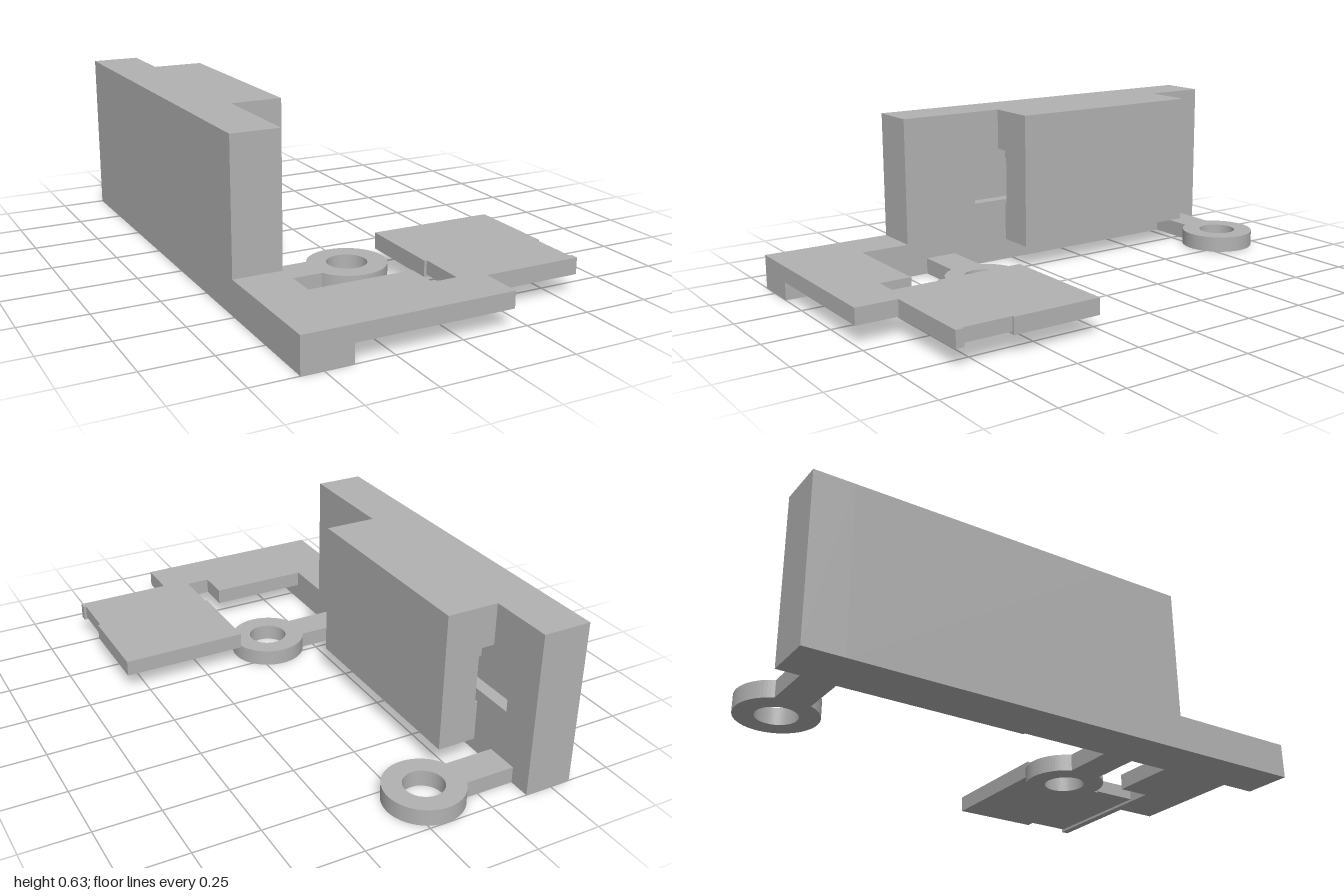
import * as THREE from 'three';

const grey = new THREE.MeshStandardMaterial({ color: 0xb2b2b2 });
grey.name = 'grey plastic';

const toShape = (pts) => new THREE.Shape(pts.map(([a, b]) => new THREE.Vector2(a, b)));

// Cross-section in x, y pushed along z from z0 to z1
function alongZ(name, pts, z0, z1) {
  const geo = new THREE.ExtrudeGeometry(toShape(pts), { depth: z1 - z0, bevelEnabled: false });
  geo.translate(0, 0, z0);
  const mesh = new THREE.Mesh(geo, grey);
  mesh.name = name;
  return mesh;
}

// Plan outline in x, z raised from y0 to y1
function upright(name, shape, y0, y1, curveSegments = 12) {
  const geo = new THREE.ExtrudeGeometry(shape, { depth: y1 - y0, bevelEnabled: false, curveSegments });
  geo.rotateX(-Math.PI / 2).translate(0, y0, 0);
  const mesh = new THREE.Mesh(geo, grey);
  mesh.name = name;
  return mesh;
}
const plan = (pts) => toShape(pts.map(([x, z]) => [x, -z]));
const rect = (x0, x1, z0, z1) => plan([[x0, z0], [x0, z1], [x1, z1], [x1, z0]]);

export function createModel() {
  const model = new THREE.Group();
  model.name = 'slottedBracket';
  const L = -0.58, W = -0.395; // wall faces

  // Tall wall with a shallow pocket running behind the block
  const wall = new THREE.Group();
  wall.name = 'wall';
  const plain = [[L, 0], [W, 0], [W, 0.63], [L, 0.63]];
  const pocketed = [[L, 0], [W, 0], [W, 0.255], [W - 0.05, 0.255], [W - 0.05, 0.44], [W, 0.44], [W, 0.63], [L, 0.63]];
  wall.add(
    alongZ('wallBack', plain, -1, -0.85),
    alongZ('wallMiddle', pocketed, -0.85, 0.18),
    alongZ('wallFront', plain, 0.18, 0.49),
  );
  model.add(wall);

  // Block hanging from the wall, with a slot open at the bottom and both ends
  model.add(alongZ('hangingBlock', [
    [W, 0.63], [W, 0.47], [-0.345, 0.47], [-0.345, 0.44], [-0.335, 0.44], [-0.335, 0.255],
    [-0.345, 0.255], [-0.345, 0.1], [-0.195, 0.1], [-0.195, 0.63],
  ], -0.75, 0.065));

  // Low rail carrying the wall forward
  model.add(upright('frontRail', rect(L, W, 0.49, 1), 0, 0.132));

  // Flat arm and panel, with a narrow band recessed around the panel
  const arm = new THREE.Group();
  arm.name = 'panelArm';
  arm.add(
    upright('armAndPanel', plan([
      [W, 0.685], [0, 0.685], [0, 0.81], [0.095, 0.81], [0.095, 0.625], [0.085, 0.625], [0.085, 0.28],
      [0.578, 0.28], [0.578, 0.625], [0.568, 0.625], [0.568, 0.81], [0.578, 0.81], [0.578, 0.84],
      [0.198, 0.84], [0.198, 1], [W, 1],
    ]), 0.08, 0.132),
    upright('armUnderside', plan([
      [W, 0.685], [0, 0.685], [0, 0.81], [0.578, 0.81], [0.578, 0.84], [0.198, 0.84], [0.198, 1], [W, 1],
    ]), 0.07, 0.08),
    upright('panelUnderside', rect(0.085, 0.578, 0.28, 0.625), 0.07, 0.08),
  );
  model.add(arm);

  // Two screw lugs: a ring with a short neck to the wall
  const cx = -0.068, r = 0.148, half = 0.064;
  const a = Math.asin(half / r);
  for (const [name, z] of [['backLug', -0.852], ['frontLug', 0.342]]) {
    const lug = new THREE.Shape();
    lug.moveTo(W, -z - half);
    lug.lineTo(cx - r * Math.cos(a), -z - half);
    lug.absarc(cx, -z, r, -Math.PI + a, Math.PI - a, false);
    lug.lineTo(W, -z + half);
    lug.closePath();
    const hole = new THREE.Path();
    hole.absarc(cx, -z, 0.075, 0, Math.PI * 2, true);
    lug.holes.push(hole);
    model.add(upright(name, lug, 0, 0.063, 32));
  }
  return model;
}
